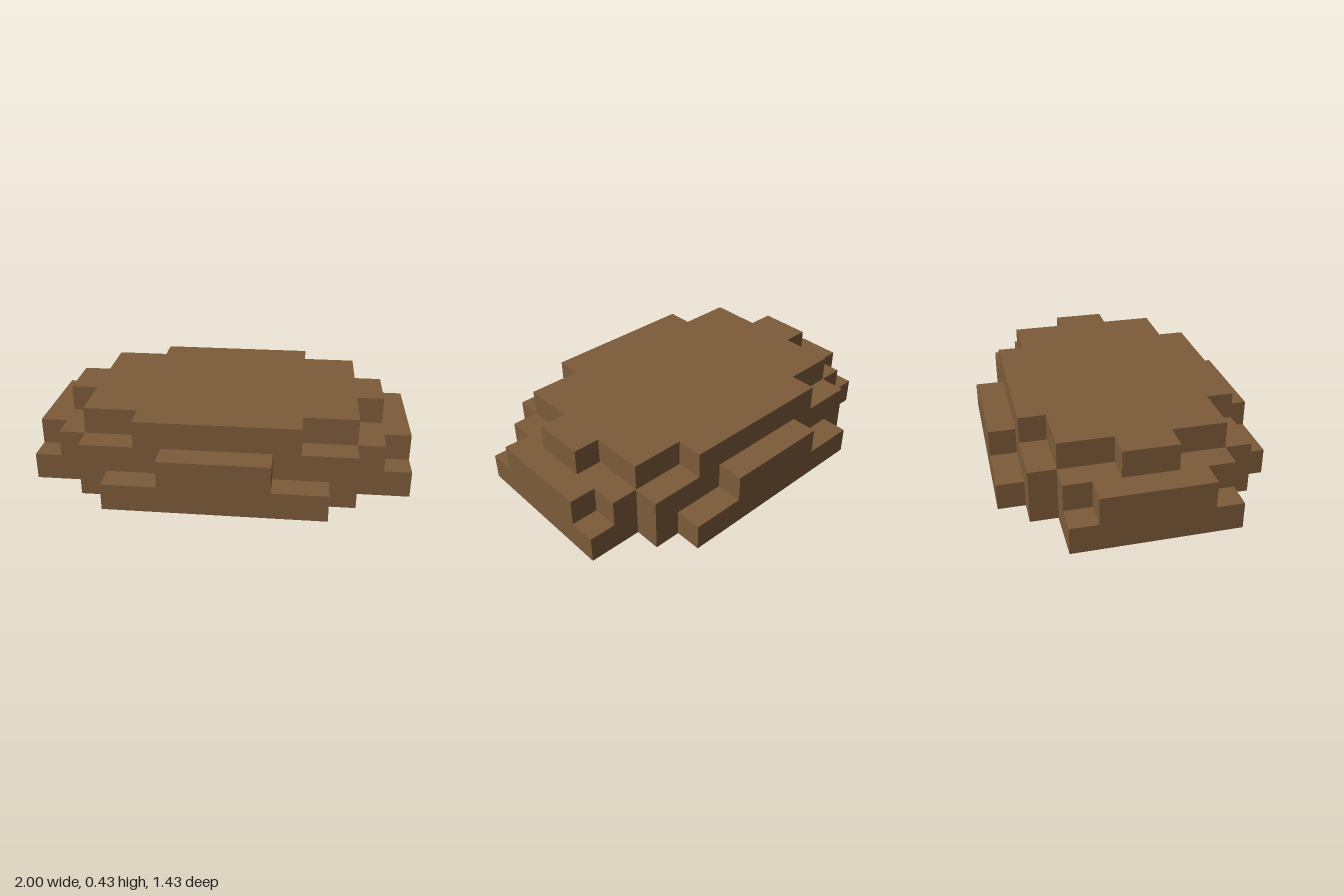
import * as THREE from 'three';

const U = 1 / 7; // one block

// Stepped corner outlines (x, z in blocks) of one quarter, from the side round to the front
const LAYERS = [
  { name: 'baseLayer', corner: [[7, 3], [5, 3], [5, 4], [4, 4], [4, 5]] },
  { name: 'middleLayer', corner: [[7, 2], [6, 2], [6, 3], [5, 3], [5, 4], [2, 4], [2, 5]] },
  { name: 'topLayer', corner: [[6, 1], [5, 1], [5, 3], [3, 3], [3, 4]] },
];

// Mirror the quarter into a full closed outline
function outline(corner) {
  const back = [...corner].reverse();
  const place = (pts, sx, sy) => pts.map(([x, y]) => new THREE.Vector2(x * sx * U, y * sy * U));
  return new THREE.Shape([
    ...place(corner, 1, 1),
    ...place(back, -1, 1),
    ...place(corner, -1, -1),
    ...place(back, 1, -1),
  ]);
}

export function createModel() {
  const group = new THREE.Group();
  group.name = 'steppedMound';
  const brown = new THREE.MeshStandardMaterial({ color: 0x7d5c3a });
  brown.name = 'earthBrown';

  // Three stacked slabs, each one block high
  LAYERS.forEach(({ name, corner }, i) => {
    const geometry = new THREE.ExtrudeGeometry(outline(corner), { depth: U, bevelEnabled: false });
    geometry.rotateX(-Math.PI / 2);
    const slab = new THREE.Mesh(geometry, brown);
    slab.name = name;
    slab.position.y = i * U;
    group.add(slab);
  });

  return group;
}
